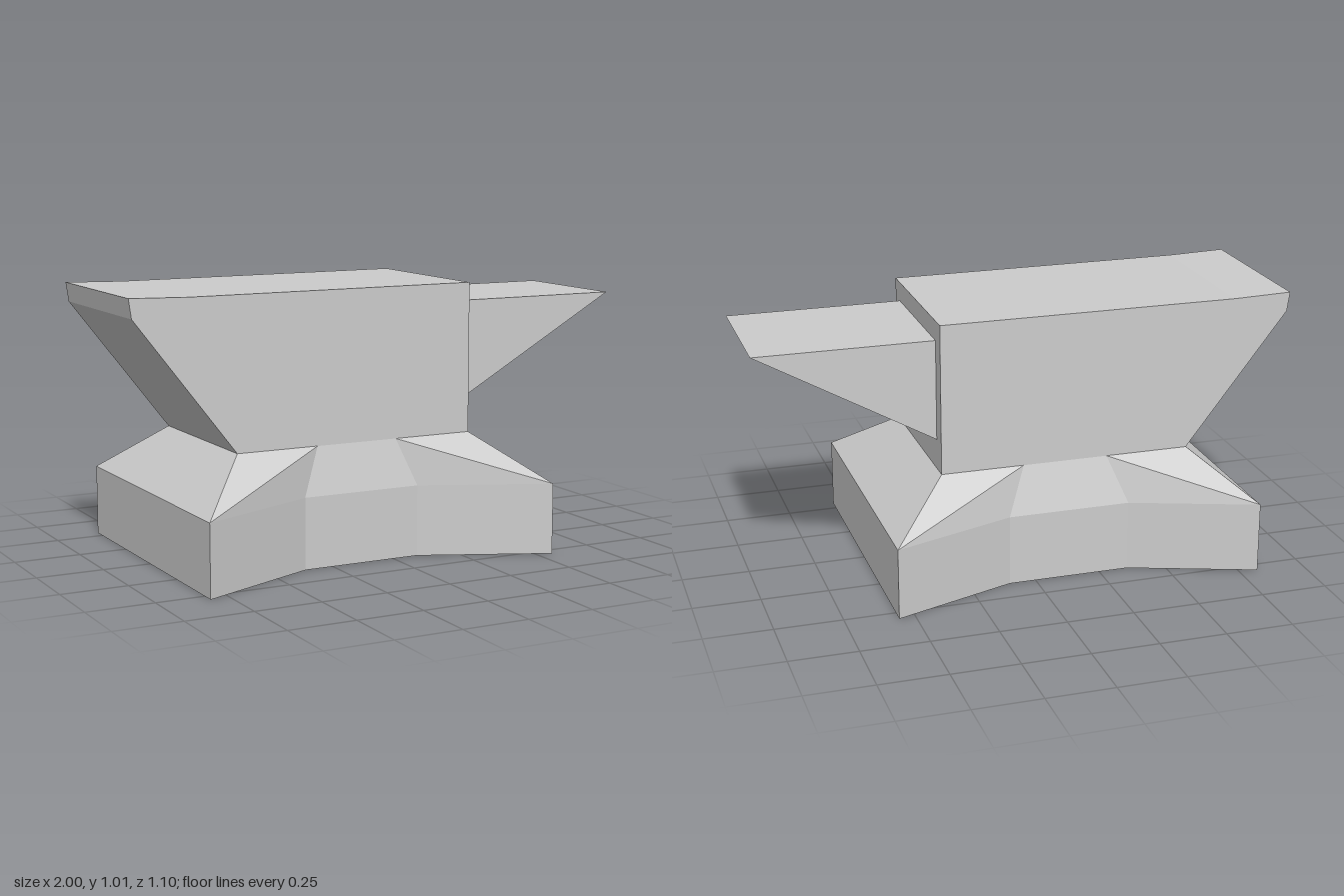
import * as THREE from 'three';

const steel = new THREE.MeshStandardMaterial({ color: 0xcccccc });
steel.name = 'steel';

// Side profile in x/y, extruded from zBack to zFront
function slab(name, points, zBack, zFront) {
  const shape = new THREE.Shape(points.map(([x, y]) => new THREE.Vector2(x, y)));
  const geometry = new THREE.ExtrudeGeometry(shape, { depth: zFront - zBack, bevelEnabled: false });
  geometry.translate(0, 0, zBack);
  const mesh = new THREE.Mesh(geometry, steel);
  mesh.name = name;
  return mesh;
}

// Waisted foot: two matching rings of eight points, then a narrower ring under the body
function foot() {
  const wide = [[-0.82, 0.55], [-0.36, 0.343], [0.1, 0.343], [0.56, 0.55],
    [0.56, -0.55], [0.1, -0.388], [-0.36, -0.388], [-0.82, -0.55]];
  const narrow = [[-0.605, 0.303], [-0.29, 0.303], [0.03, 0.303], [0.34, 0.303],
    [0.34, -0.333], [0.03, -0.333], [-0.29, -0.333], [-0.605, -0.333]];
  const ring = (outline, y) => outline.map(([x, z]) => [x, y, z]);
  const rings = [ring(wide, 0), ring(wide, 0.265), ring(narrow, 0.44)];
  const positions = [];
  const tri = (a, b, c) => positions.push(...a, ...b, ...c);

  // Walls, with each diagonal running from the outer corner to the waist
  for (let r = 0; r < 2; r++) {
    const low = rings[r], up = rings[r + 1];
    for (let i = 0; i < 8; i++) {
      const j = (i + 1) % 8;
      if (i % 4 === 2) {
        tri(low[i], low[j], up[i]);
        tri(low[j], up[j], up[i]);
      } else {
        tri(low[i], low[j], up[j]);
        tri(low[i], up[j], up[i]);
      }
    }
  }

  // Underside and top
  for (const [a, b, c, d] of [[0, 1, 6, 7], [1, 2, 5, 6], [2, 3, 4, 5]]) {
    const [bottom, , top] = rings;
    tri(bottom[a], bottom[c], bottom[b]);
    tri(bottom[a], bottom[d], bottom[c]);
    tri(top[a], top[b], top[c]);
    tri(top[a], top[c], top[d]);
  }

  const geometry = new THREE.BufferGeometry();
  geometry.setAttribute('position', new THREE.Float32BufferAttribute(positions, 3));
  geometry.computeVertexNormals();
  const mesh = new THREE.Mesh(geometry, steel);
  mesh.name = 'foot';
  return mesh;
}

export function createModel() {
  const model = new THREE.Group();
  model.name = 'anvil';
  model.add(
    foot(),
    // Body with the overhanging heel
    slab('body', [[-0.605, 0.44], [0.34, 0.44], [0.34, 1], [-0.78, 1], [-1, 1.006], [-0.99, 0.935]], -0.333, 0.303),
    // Wedge-shaped horn
    slab('horn', [[0.34, 0.553], [1, 0.927], [0.34, 0.927]], -0.272, 0.243),
  );
  return model;
}
